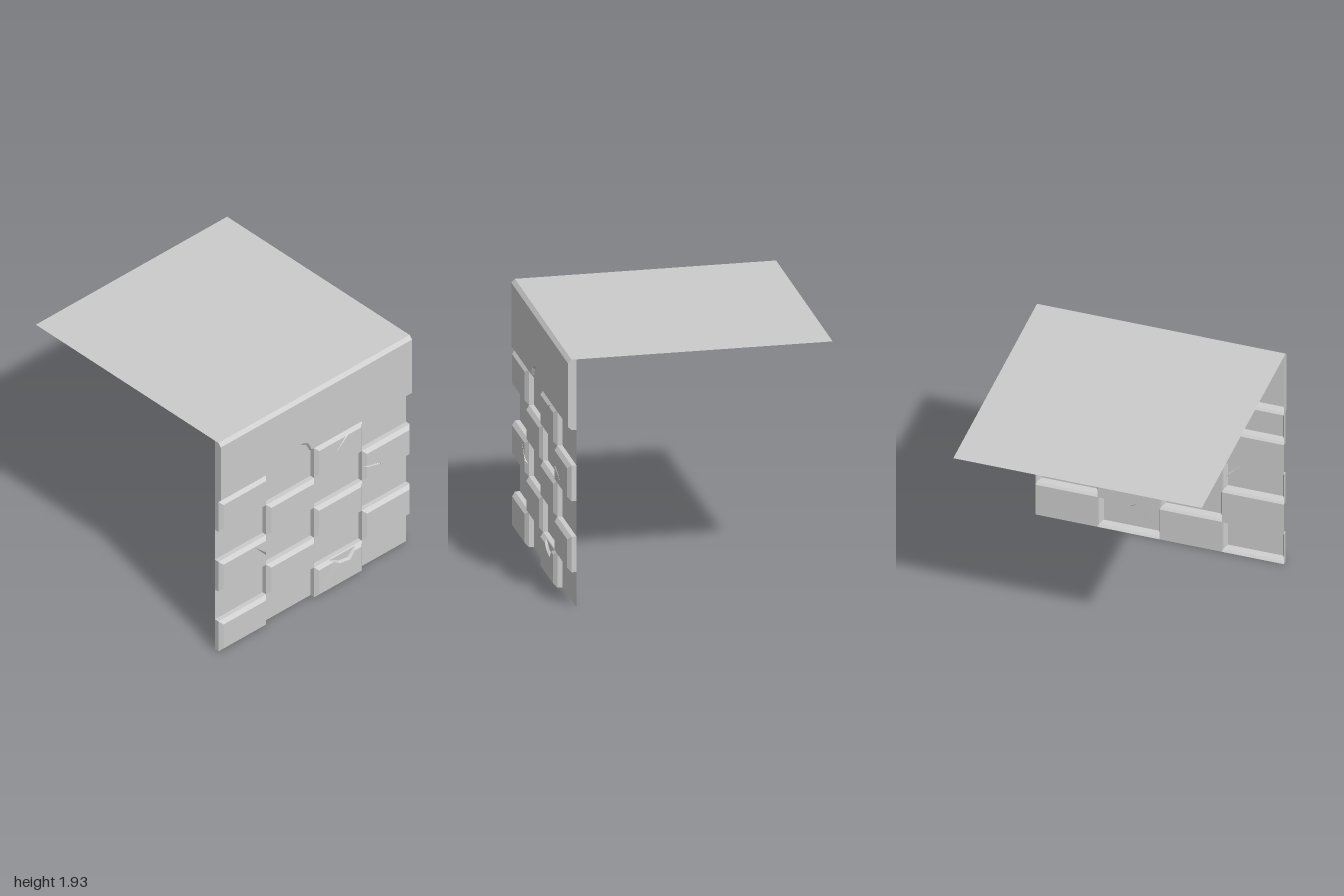
import * as THREE from 'three';
import { mergeGeometries } from 'three/addons/utils/BufferGeometryUtils.js';

const W = 0.965, H = 1.93, BAND_Y = 1.382;
const FRONT = 1, RIM = 0.973, BACK = 0.935, BEVEL = 0.027;
const COLS = 4, ROWS = 5, CW = 2 * W / COLS, CH = BAND_Y / ROWS;

const material = new THREE.MeshStandardMaterial({
  color: 0xcccccc, flatShading: true, side: THREE.DoubleSide,
});

// Convex 3D polygon as a triangle fan
function fan(pts) {
  const tris = [];
  for (let i = 1; i < pts.length - 1; i++) tris.push(...pts[0], ...pts[i], ...pts[i + 1]);
  const g = new THREE.BufferGeometry();
  g.setAttribute('position', new THREE.Float32BufferAttribute(tris, 3));
  g.computeVertexNormals();
  return g;
}

// Flat outline in x,y whose depth follows a height rule
function sheet(outline, height) {
  const g = new THREE.ShapeGeometry(new THREE.Shape(outline.map(p => new THREE.Vector2(p[0], p[1])))).toNonIndexed();
  g.deleteAttribute('uv');
  const pos = g.attributes.position;
  for (let i = 0; i < pos.count; i++) pos.setZ(i, height(pos.getX(i), pos.getY(i)));
  g.computeVertexNormals();
  return g;
}

// Raised block, open at the back. Sides: 0 bottom, 1 right, 2 top, 3 left.
// A notch cuts the face and one bevel: rim and floor run from foot a to foot b.
function block(x0, y0, x1, y1, { bevelX = BEVEL, walls = [0, 1, 2, 3], notch } = {}) {
  const height = (x, y) => {
    const dx = bevelX ? Math.min(x - x0, x1 - x) : BEVEL;
    const d = Math.min(dx, y - y0, y1 - y);
    return FRONT - Math.min(BEVEL, Math.max(0, BEVEL - d));
  };
  const outer = [[x0, y0], [x1, y0], [x1, y1], [x0, y1]];
  const inner = [[x0 + bevelX, y0 + BEVEL], [x1 - bevelX, y0 + BEVEL],
    [x1 - bevelX, y1 - BEVEL], [x0 + bevelX, y1 - BEVEL]];
  const parts = [], face = [];

  for (let k = 0; k < 4; k++) {
    const n = (k + 1) % 4, cut = notch && notch.side === k;
    face.push(inner[k]);
    if (cut) face.push(...notch.rim);
    // bevel
    if (bevelX || k % 2 === 0) {
      const edge = [outer[k], outer[n], inner[n]];
      if (cut) {
        const [a, b] = notch.feet;
        edge.push(notch.rim.at(-1), b);
        if (a !== b) edge.push(a);
        edge.push(notch.rim[0]);
      }
      parts.push(sheet([...edge, inner[k]], height));
    }
    // return wall behind the bevel
    if (walls.includes(k)) {
      parts.push(fan([[...outer[k], BACK], [...outer[n], BACK], [...outer[n], RIM], [...outer[k], RIM]]));
    }
  }
  parts.push(sheet(face, height));

  // broken walls and floor of the notch
  if (notch) {
    const [a, b] = notch.feet;
    const lift = p => [p[0], p[1], p[2] ?? height(p[0], p[1])];
    const depth = height(a[0], a[1]);
    const rim = [a, ...notch.rim, b].map(lift);
    const low = [a, ...notch.floor, b].map(p => (notch.chip ? [p[0], p[1], depth] : lift(p)));
    for (let i = 0; i < rim.length - 1; i++) parts.push(fan([rim[i], rim[i + 1], low[i + 1], low[i]]));
    if (notch.chip) parts.push(sheet(low, () => depth));
  }
  return mergeGeometries(parts);
}

// Narrow crack running from a bevel to a tip
function crack(side, foot, rim, floor) {
  return { side, feet: [foot, foot], rim, floor };
}

const cornerA = [0.318, 1.37], cornerB = [0.49, 0.967], cornerC = [-0.49, 0.65];
const damage = {
  // chipped upper edge, row 0
  '0,2': {
    side: 2, chip: true, feet: [[0.405, 0.27], [0.145, 0.27]],
    rim: [[0.388, 0.25], [0.34, 0.19], [0.23, 0.21], [0.173, 0.25]],
    floor: [[0.378, 0.25], [0.33, 0.205], [0.24, 0.222], [0.19, 0.25]],
  },
  '2,0': crack(1, cornerC, [[-0.51, 0.665], [-0.62, 0.795], [-0.51, 0.695]],
    [cornerC, [-0.62, 0.795], cornerC]),
  '3,3': crack(3, cornerB,
    [[0.51, 0.968], [0.63, 0.935], [0.69, 0.89], [0.625, 0.925], [0.51, 0.955]],
    [cornerB, [0.628, 0.93, 0.99], [0.69, 0.89], [0.628, 0.93, 0.99], cornerB]),
  '4,2': crack(2, cornerA, [[0.32, 1.355], [0.195, 1.25], [0.295, 1.355]],
    [cornerA, [0.195, 1.25], cornerA]),
};

const bandChip = {
  side: 0, chip: true, feet: [[-0.275, 1.39], [-0.045, 1.39]],
  rim: [[-0.278, 1.409], [-0.265, 1.475], [-0.15, 1.515], [-0.08, 1.48], [-0.047, 1.409]],
  floor: [[-0.26, 1.409], [-0.248, 1.462], [-0.15, 1.5], [-0.09, 1.468], [-0.06, 1.409]],
};

export function createModel() {
  const model = new THREE.Group();
  model.name = 'brickLedge';
  const add = (name, geometry) => {
    const mesh = new THREE.Mesh(geometry, material);
    mesh.name = name;
    model.add(mesh);
  };

  // checkerboard of raised and recessed bricks
  for (let r = 0; r < ROWS; r++) {
    for (let c = 0; c < COLS; c++) {
      const x0 = -W + c * CW, y0 = r * CH, x1 = x0 + CW, y1 = y0 + CH;
      if ((r + c) % 2 === 0) {
        const walls = r === ROWS - 1 ? [0, 1, 3] : [0, 1, 2, 3];
        add('raisedBrick', block(x0, y0, x1, y1, { walls, notch: damage[`${r},${c}`] }));
      } else {
        add('recessedBrick', fan([[x0, y0, BACK], [x1, y0, BACK], [x1, y1, BACK], [x0, y1, BACK]]));
      }
    }
  }

  // plain band along the top with its end caps
  add('topBand', block(-W, BAND_Y, W, H, { bevelX: 0, walls: [0], notch: bandChip }));
  for (const s of [-1, 1]) {
    const profile = [[BACK, BAND_Y], [RIM, BAND_Y], [FRONT, BAND_Y + BEVEL],
      [FRONT, H - BEVEL], [RIM, H], [BACK, H]];
    const cap = profile.map(([z, y]) => [s * W, y, z]);
    add('bandEnd', fan(s > 0 ? cap.reverse() : cap));
  }

  // thin floor slab surface reaching back
  add('topSurface', fan([[-W, H, RIM], [W, H, RIM], [W, H, -1], [-W, H, -1]]));
  return model;
}
